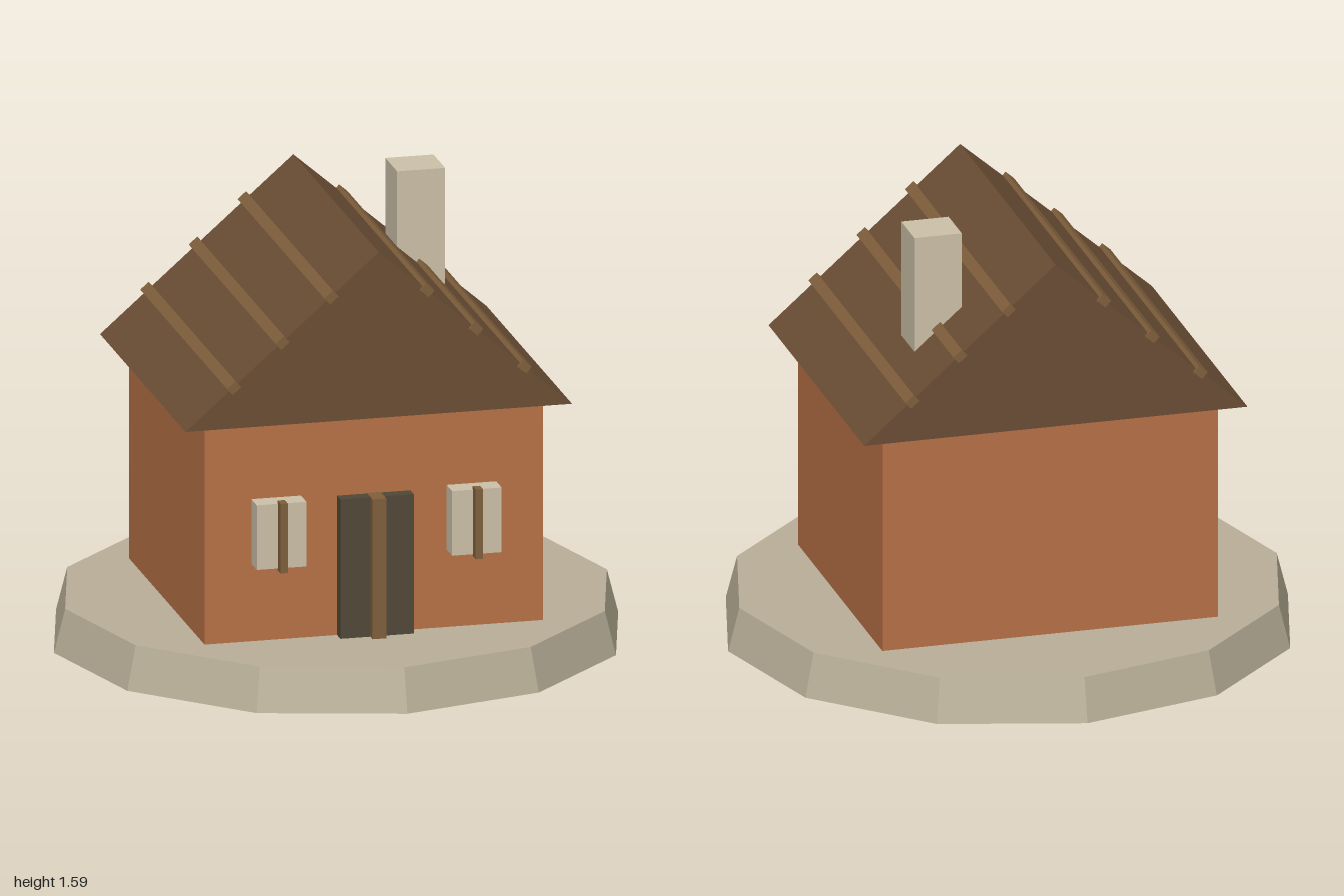
import * as THREE from 'three';

const paint = (color) => new THREE.MeshStandardMaterial({ color, flatShading: true });

export function createModel() {
  const house = new THREE.Group();
  house.name = 'house';

  const stone = paint(0xb9af98), brick = paint(0xb87146), shingle = paint(0x6b4e35);
  const wood = paint(0x80603c), darkWood = paint(0x504838), plaster = paint(0xcdc1a9);

  function add(name, geometry, material, parent = house) {
    const mesh = new THREE.Mesh(geometry, material);
    mesh.name = name;
    parent.add(mesh);
    return mesh;
  }

  // Box given by its minimum and maximum along each axis
  function block(name, [x0, x1], [y0, y1], [z0, z1], material, parent) {
    const mesh = add(name, new THREE.BoxGeometry(x1 - x0, y1 - y0, z1 - z0), material, parent);
    mesh.position.set((x0 + x1) / 2, (y0 + y1) / 2, (z0 + z1) / 2);
    return mesh;
  }

  // Twelve-sided stone base
  add('base', new THREE.CylinderGeometry(0.96, 1, 0.155, 12), stone).position.y = 0.0775;

  block('walls', [-0.6, 0.6], [0.005, 0.95], [-0.53, 0.53], brick);

  // Gable roof
  const eaveX = 0.685, eaveY = 0.945, ridgeY = 1.54, roofZ = 0.6;
  const gable = new THREE.Shape([
    new THREE.Vector2(-eaveX, eaveY),
    new THREE.Vector2(eaveX, eaveY),
    new THREE.Vector2(0, ridgeY),
  ]);
  const roof = new THREE.ExtrudeGeometry(gable, { depth: roofZ * 2, bevelEnabled: false });
  add('roof', roof.translate(0, 0, -roofZ), shingle);

  // Battens lying on both slopes
  const slope = (ridgeY - eaveY) / eaveX;
  for (const side of [-1, 1]) {
    for (const x of [0.17, 0.343, 0.515]) {
      const batten = add('roofBatten', new THREE.BoxGeometry(0.04, 0.03, 1.22), wood);
      batten.position.set(side * x, ridgeY - x * slope, 0);
      batten.rotation.z = -side * Math.atan(slope);
    }
  }

  block('chimney', [0.26, 0.43], [1.0, 1.585], [-0.335, -0.17], plaster);

  // Door with a raised centre plank
  block('door', [-0.13, 0.13], [0.15, 0.655], [0.5, 0.578], darkWood);
  block('doorPlank', [-0.024, 0.024], [0.15, 0.657], [0.5, 0.61], wood);

  // Windows with a vertical bar
  for (const side of [-1, 1]) {
    const windowGroup = new THREE.Group();
    windowGroup.name = side > 0 ? 'leftWindow' : 'rightWindow';
    windowGroup.position.x = side * 0.346;
    house.add(windowGroup);
    block('windowPane', [-0.088, 0.088], [0.433, 0.665], [0.5, 0.607], plaster, windowGroup);
    block('windowBar', [-0.013, 0.013], [0.425, 0.675], [0.6, 0.642], wood, windowGroup);
  }

  return house;
}
